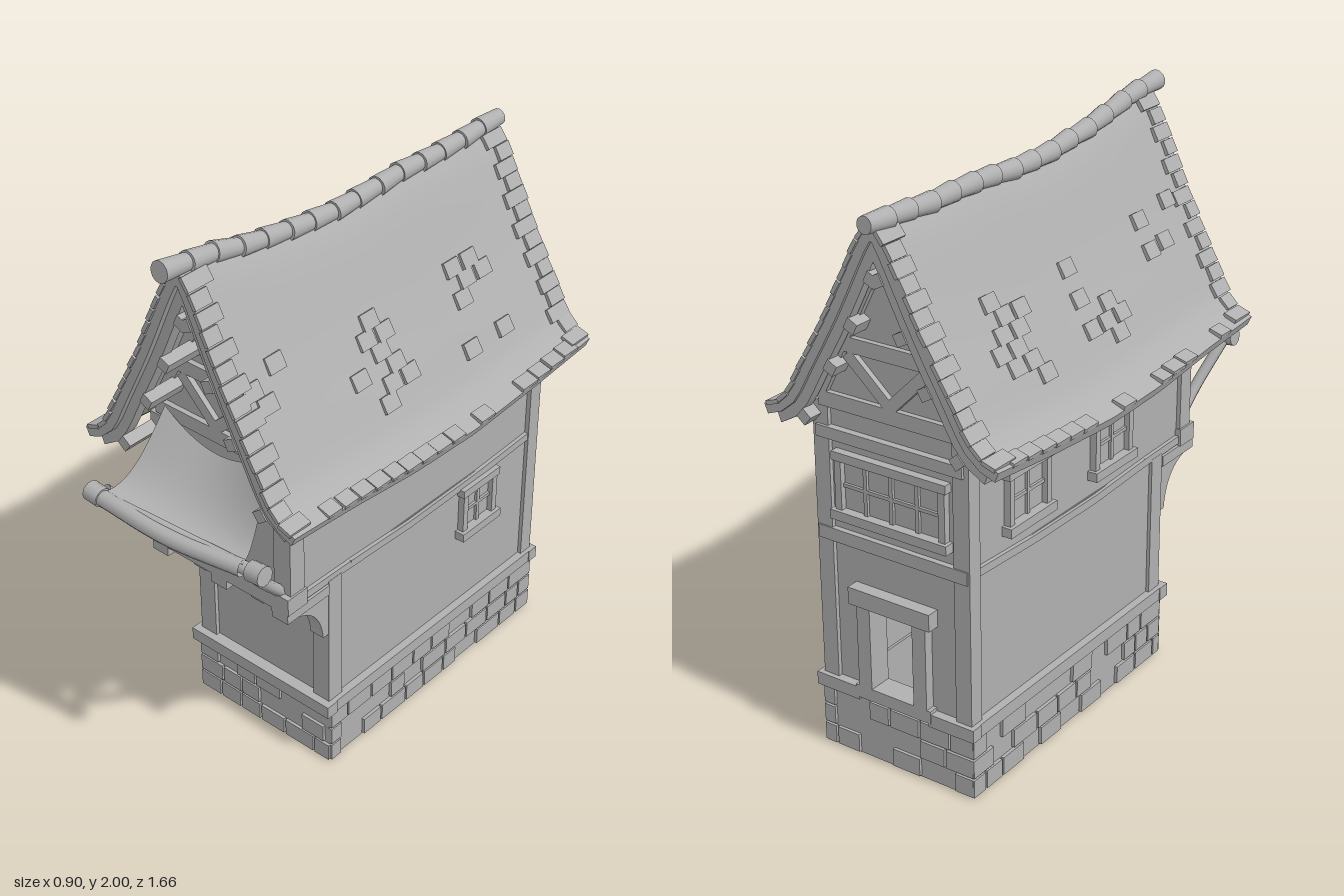
import * as THREE from 'three';
import { toCreasedNormals } from 'three/addons/utils/BufferGeometryUtils.js';

const grey = new THREE.MeshStandardMaterial({ color: 0xb0b0b0, side: THREE.DoubleSide });
grey.name = 'plain grey';

let seed = 7;
const rnd = () => (seed = (seed * 16807) % 2147483647) / 2147483647;
const V = (x, y, z) => new THREE.Vector3(x, y, z);
const lerp = THREE.MathUtils.lerp;

function add(parent, name, geo) {
  const m = new THREE.Mesh(geo, grey);
  m.name = name;
  parent.add(m);
  return m;
}
// box given by its minimum and maximum corners
function box(p, name, x0, x1, y0, y1, z0, z1) {
  const m = add(p, name, new THREE.BoxGeometry(x1 - x0, y1 - y0, z1 - z0));
  m.position.set((x0 + x1) / 2, (y0 + y1) / 2, (z0 + z1) / 2);
  return m;
}
// timber from a to b, w wide, t thick along the wall normal n
function beam(p, name, a, b, w, t, n) {
  const dir = b.clone().sub(a), len = dir.length();
  dir.normalize();
  const side = dir.clone().cross(n).normalize();
  const m = add(p, name, new THREE.BoxGeometry(w, len, t));
  m.quaternion.setFromRotationMatrix(new THREE.Matrix4().makeBasis(side, dir, side.clone().cross(dir)));
  m.position.copy(a).add(b).multiplyScalar(0.5);
  return m;
}
// round pole from a to b
function pole(p, name, a, b, r0, r1, sides = 12) {
  const m = add(p, name, new THREE.CylinderGeometry(r1, r0, a.distanceTo(b), sides));
  m.quaternion.setFromUnitVectors(V(0, 1, 0), b.clone().sub(a).normalize());
  m.position.copy(a).add(b).multiplyScalar(0.5);
  return m;
}
// value from a table of [z, y] pairs running from front to back
function at(table, z) {
  let i = 0;
  while (i < table.length - 2 && z < table[i + 1][0]) i++;
  const [z0, y0] = table[i], [z1, y1] = table[i + 1];
  return lerp(y0, y1, THREE.MathUtils.clamp((z - z0) / (z1 - z0), 0, 1));
}
const ridge = [[0.74, 1.965], [0.55, 1.945], [0.36, 1.9], [0.1, 1.866], [-0.05, 1.856], [-0.34, 1.87], [-0.52, 1.862], [-0.84, 1.875]];
const eave = [[0.7, 1.215], [0.4, 1.195], [0.1, 1.165], [-0.2, 1.155], [-0.5, 1.175], [-0.82, 1.205]];
const slope = new THREE.SplineCurve([[0, 1], [0.05, 0.9], [0.17, 0.55], [0.28, 0.26], [0.335, 0.115], [0.38, 0.04], [0.445, 0]]
  .map(([x, t]) => new THREE.Vector2(x, t * 0.75)));

// point on the right roof slope: s runs from ridge to eave, off is the distance above it
function roofPoint(s, z, off) {
  const c = slope.getPointAt(s), d = slope.getTangentAt(s);
  const e = at(eave, z), k = (at(ridge, z) - e) / 0.75;
  const dy = d.y * k, l = Math.hypot(d.x, dy);
  let x = c.x - (dy / l) * off, y = e + c.y * k + (d.x / l) * off;
  if (x < 0) { y -= x * dy / d.x; x = 0; }
  return { x, y, angle: Math.atan2(dy, d.x) };
}
// closed shell following both slopes
function roofShell(p, name, z0, z1, outer, inner, steps, sMax = 1) {
  const N = 16, M = 2 * N + 1, pos = [], idx = [];
  for (let i = 0; i <= steps; i++) {
    const z = lerp(z0, z1, i / steps);
    for (let j = 0; j < 2 * M; j++) {
      const k = j < M ? j : 2 * M - 1 - j;
      const q = roofPoint(Math.abs(N - k) / N * sMax, z, j < M ? outer : inner);
      pos.push(k < N ? q.x : -q.x, q.y, z);
    }
  }
  const L = 2 * M, quad = (a, b, c, d) => idx.push(a, b, c, a, c, d);
  for (let i = 0; i < steps; i++) for (let j = 0; j < L; j++) {
    const j1 = (j + 1) % L;
    quad(i * L + j, (i + 1) * L + j, (i + 1) * L + j1, i * L + j1);
  }
  const e = steps * L;
  for (let k = 0; k < M - 1; k++) {
    quad(k, k + 1, L - 2 - k, L - 1 - k);
    quad(e + k, e + L - 1 - k, e + L - 2 - k, e + k + 1);
  }
  const g = new THREE.BufferGeometry();
  g.setAttribute('position', new THREE.Float32BufferAttribute(pos, 3));
  g.setIndex(idx);
  add(p, name, toCreasedNormals(g, 0.6));
}
function tile(p, side, s, z, w, len = 0.055) {
  const q = roofPoint(s, z, 0.004);
  const m = add(p, 'roofTile', new THREE.BoxGeometry(len, 0.014, w));
  m.position.set(side * q.x, q.y, z);
  m.rotation.z = side * (q.angle + 0.06);
}
// framed window facing +z with its centre at the group origin
function paneWindow(p, name, w, h, cols, x, y, z, turn) {
  const g = new THREE.Group();
  g.name = name;
  const a = w / 2, b = h / 2, f = 0.025;
  box(g, 'pane', -a, a, -b, b, 0, 0.005);
  for (const s of [-1, 1]) box(g, 'jamb', s * a - f / 2, s * a + f / 2, -b, b, 0, 0.025);
  box(g, 'lintel', -a - 0.02, a + 0.02, b - 0.01, b + 0.02, 0, 0.03);
  box(g, 'sill', -a - 0.025, a + 0.025, -b - 0.02, -b + 0.012, 0, 0.038);
  for (let i = 1; i < cols; i++) box(g, 'mullion', -a + i * w / cols - 0.007, -a + i * w / cols + 0.007, -b, b, 0, 0.015);
  box(g, 'crossbar', -a, a, -0.006, 0.006, 0, 0.014);
  g.position.set(x, y, z);
  g.rotation.y = turn;
  p.add(g);
}

export function createModel() {
  const house = new THREE.Group();
  house.name = 'house';
  const F = V(0, 0, 1), R = V(1, 0, 0);

  // hollow stone footing with raised bricks
  const base = new THREE.Group();
  base.name = 'stoneFooting';
  house.add(base);
  for (const s of [-1, 1]) box(base, 'footingSide', s * 0.265 - 0.027, s * 0.265 + 0.027, 0, 0.24, -0.745, 0.355);
  box(base, 'footingFront', -0.24, 0.24, 0, 0.24, 0.3, 0.355);
  box(base, 'footingBack', -0.24, 0.24, 0, 0.24, -0.745, -0.69);
  for (let row = 0; row < 3; row++) {
    const y0 = 0.006 + row * 0.072, y1 = y0 + 0.064;
    const course = (from, to, put) => {
      for (let u = from; u < to - 0.03;) {
        const e = Math.min(to, u + 0.07 + rnd() * 0.07);
        if (rnd() < 0.6 || u === from || e === to) put(u, e - 0.008);
        u = e;
      }
    };
    for (const s of [-1, 1]) {
      course(-0.755, 0.365, (a, b) => box(base, 'brick', s * 0.295 - 0.009, s * 0.295 + 0.009, y0, y1, a, b));
      const z = s > 0 ? 0.357 : -0.747;
      course(-0.3, 0.304, (a, b) => box(base, 'brick', a, b, y0, y1, z - 0.009, z + 0.009));
    }
  }

  // ground floor walls with an open doorway at the back
  for (const s of [-1, 1]) {
    box(house, 'groundSideWall', s * 0.265 - 0.018, s * 0.265 + 0.018, 0.24, 0.79, -0.74, 0.345);
    box(house, 'backWallBesideDoor', s > 0 ? 0.085 : -0.25, s > 0 ? 0.25 : -0.085, 0.24, 0.79, -0.74, -0.7);
    box(house, 'doorPost', s * 0.11 - 0.026, s * 0.11 + 0.026, 0.25, 0.59, -0.775, -0.69);
  }
  box(house, 'groundFrontWall', -0.25, 0.25, 0.24, 0.79, 0.31, 0.345);
  box(house, 'wallAboveDoor', -0.086, 0.086, 0.58, 0.79, -0.74, -0.7);
  box(house, 'doorLintel', -0.16, 0.16, 0.575, 0.635, -0.785, -0.69);
  box(house, 'doorStep', -0.15, 0.15, 0.235, 0.28, -0.775, -0.69);

  // upper storey and gable walls
  box(house, 'upperStorey', -0.28, 0.28, 0.78, 1.26, -0.74, 0.52);
  const gable = (name, peak, shoulder, z) => {
    const s = new THREE.Shape([[-0.28, 1.2], [0.28, 1.2], [0.28, shoulder], [0, peak], [-0.28, shoulder]].map(q => new THREE.Vector2(...q)));
    add(house, name, new THREE.ExtrudeGeometry(s, { depth: 0.04, bevelEnabled: false })).position.z = z;
  };
  gable('frontGable', 1.86, 1.31, 0.48);
  gable('backGable', 1.79, 1.27, -0.74);

  // corner posts and horizontal timbers
  for (const s of [-1, 1]) {
    box(house, 'groundFrontPost', s * 0.26 - 0.035, s * 0.26 + 0.035, 0.25, 0.78, 0.295, 0.36);
    box(house, 'upperFrontPost', s * 0.26 - 0.035, s * 0.26 + 0.035, 0.8, 1.27, 0.475, 0.54);
    box(house, 'backPost', s * 0.267 - 0.03, s * 0.267 + 0.03, 0.25, 1.24, -0.755, -0.7);
    box(house, 'sideSill', s * 0.29 - 0.022, s * 0.29 + 0.022, 0.222, 0.268, -0.772, 0.385);
    box(house, 'wallPlate', s * 0.28 - 0.014, s * 0.28 + 0.014, 1.13, 1.18, -0.74, 0.53);
    const belt = [0.53, 0.25, -0.05, -0.4, -0.745].map((z, i) => V(s * 0.281, [0.79, 0.785, 0.772, 0.775, 0.79][i], z));
    for (let i = 0; i < 4; i++) beam(house, 'sideBelt', belt[i], belt[i + 1], 0.028, 0.026, R);
    for (const z of [0.1, -0.43]) box(house, 'rafterEnd', s * 0.32 - 0.04, s * 0.32 + 0.04, 1.125, 1.16, z - 0.025, z + 0.025);
  }
  box(house, 'frontSill', -0.315, 0.315, 0.22, 0.268, 0.34, 0.388);
  for (const s of [-1, 1]) box(house, 'backSill', s > 0 ? 0.14 : -0.315, s > 0 ? 0.315 : -0.14, 0.222, 0.268, -0.772, -0.73);
  box(house, 'jettyBeam', -0.302, 0.302, 0.765, 0.828, 0.47, 0.56);
  box(house, 'backBelt', -0.29, 0.29, 0.765, 0.81, -0.76, -0.73);

  // curved brackets under the overhanging storey
  const cs = new THREE.Shape();
  cs.moveTo(0.345, 0.765);
  cs.lineTo(0.345, 0.56);
  cs.lineTo(0.385, 0.56);
  cs.quadraticCurveTo(0.4, 0.715, 0.545, 0.73);
  cs.lineTo(0.545, 0.765);
  for (const x of [-0.265, 0, 0.265]) {
    const m = add(house, 'bracket', new THREE.ExtrudeGeometry(cs, { depth: 0.055, bevelEnabled: false }));
    m.rotation.y = -Math.PI / 2;
    m.position.x = x + 0.0275;
    box(house, 'bracketHead', x - 0.034, x + 0.034, 0.73, 0.768, 0.36, 0.56);
  }

  // timber framing in both gables
  for (const [z, lift] of [[0.525, 0], [-0.745, -0.05]]) {
    const b = (n, x0, y0, x1, y1, w) => beam(house, n, V(x0, y0 + lift, z), V(x1, y1 + lift, z), w, 0.028, F);
    b('tieBeam', -0.27, 1.3, 0.27, 1.3, 0.05);
    b('collarBeam', -0.16, 1.5, 0.16, 1.5, 0.05);
    b('longBrace', -0.02, 1.32, 0.15, 1.47, 0.04);
    b('longBrace', -0.15, 1.47, -0.01, 1.33, 0.04);
    for (const s of [-1, 1]) b('gableRafter', s * 0.27, 1.31, 0, 1.83, 0.045);
  }
  box(house, 'backTie', -0.28, 0.28, 1.12, 1.16, -0.765, -0.73);

  // windows
  paneWindow(house, 'rightWindow', 0.16, 0.17, 2, 0.282, 0.66, -0.42, Math.PI / 2);
  for (const z of [-0.44, 0.04]) paneWindow(house, 'leftWindow', 0.2, 0.18, 2, -0.279, 0.96, z, -Math.PI / 2);
  paneWindow(house, 'backWindow', 0.4, 0.19, 4, 0, 0.97, -0.739, Math.PI);
  const ring = add(house, 'roundWindowFrame', new THREE.TorusGeometry(0.11, 0.016, 8, 32));
  ring.position.set(0.015, 1.05, 0.523);
  box(house, 'roundWindowBar', 0.008, 0.022, 0.945, 1.155, 0.515, 0.532);
  box(house, 'roundWindowBar', -0.09, 0.12, 1.043, 1.057, 0.515, 0.532);

  // swaybacked roof, barge boards and purlin ends
  const roof = new THREE.Group();
  roof.name = 'roof';
  house.add(roof);
  roofShell(roof, 'roofCovering', 0.68, -0.81, 0, -0.035, 24);
  roofShell(roof, 'frontBargeBoard', 0.66, 0.62, -0.03, -0.07, 1, 0.96);
  roofShell(roof, 'backBargeBoard', -0.765, -0.8, -0.03, -0.07, 1, 0.96);
  for (const side of [-1, 1]) {
    for (const s of [0.2, 0.42, 0.63, 0.88]) for (const [z0, z1] of [[0.5, 0.665], [-0.805, -0.72]]) {
      const q = roofPoint(s, (z0 + z1) / 2, -0.085);
      box(roof, 'purlinEnd', side * q.x - 0.02, side * q.x + 0.02, q.y - 0.02, q.y + 0.02, z0, z1).rotation.z = side * q.angle;
    }
    // staggered tiles along the verges, the eaves and in scattered patches
    for (let i = 0; i < 15; i++) for (const [z, d] of [[0.69, -1], [-0.82, 1]]) {
      const w = (i % 2 ? 0.06 : 0.09) + rnd() * 0.015;
      tile(roof, side, 0.06 + i * 0.064, z + d * (w / 2 + rnd() * 0.008), w, 0.05);
    }
    for (let z = -0.7; z < 0.62; z += 0.075) if (rnd() < 0.75) tile(roof, side, 0.972, z, 0.06 + rnd() * 0.02, 0.05);
    for (const [cz, n] of [[0.03, 6], [-0.47, 6], [0.46, 3]]) for (let r = 0; r < n; r++) for (let c = 0; c < 3; c++) {
      if (rnd() < 0.5) tile(roof, side, 0.42 + r * 0.063, cz + (c - 1) * 0.085 + (r % 2) * 0.04, 0.07);
    }
  }

  // overlapping ridge tiles
  for (let i = 0; i < 15; i++) {
    const z0 = 0.735 - i * 0.105, z1 = z0 - 0.108;
    pole(roof, 'ridgeTile', V(0.004 * (i % 2) - 0.008, at(ridge, z0), z0), V(-0.006, at(ridge, z1), z1), 0.035, 0.028, 14);
  }

  // awning: sagging cloth, cross pole and curved props
  const awning = new THREE.Group();
  awning.name = 'awning';
  house.add(awning);
  const cloth = new THREE.PlaneGeometry(2, 1, 20, 14), cp = cloth.attributes.position;
  for (let i = 0; i < cp.count; i++) {
    const u = cp.getX(i), v = 0.5 - cp.getY(i), x = u * (0.22 + 0.07 * v) + 0.02 * v;
    const top = 1.325 - 0.085 * (1 - u * u), end = 1.1 - 0.015 * (1 - u * u);
    cp.setXYZ(i, x, lerp(top, end, Math.sin(v * Math.PI / 2)) - 0.02 * Math.sin(v * Math.PI), 0.545 + v * (0.235 - 0.05 * x));
  }
  cloth.computeVertexNormals();
  add(awning, 'cloth', cloth);
  const L = V(-0.315, 1.075, 0.785), C = V(0.02, 1.07, 0.79), E = V(0.37, 1.075, 0.745);
  const wrap = new THREE.CatmullRomCurve3([L.clone().lerp(C, 0.12), C, E.clone().lerp(C, 0.2)]);
  add(awning, 'rolledHem', new THREE.TubeGeometry(wrap, 16, 0.028, 10));
  pole(awning, 'crossPole', L, E, 0.022, 0.022);
  for (const [q, s] of [[L, -1], [E, 1]]) {
    pole(awning, 'poleEnd', q.clone().add(V(-s * 0.045, 0, 0)), q.clone().add(V(s * 0.012, 0.005, 0)), 0.034, 0.034, 10);
    const path = new THREE.CatmullRomCurve3([V(s * 0.25, 0.82, 0.53), V(s * 0.262, 0.93, 0.635), V(s * 0.3, 1.07, 0.745)]);
    add(awning, 'prop', new THREE.TubeGeometry(path, 12, 0.02, 8));
  }
  return house;
}
